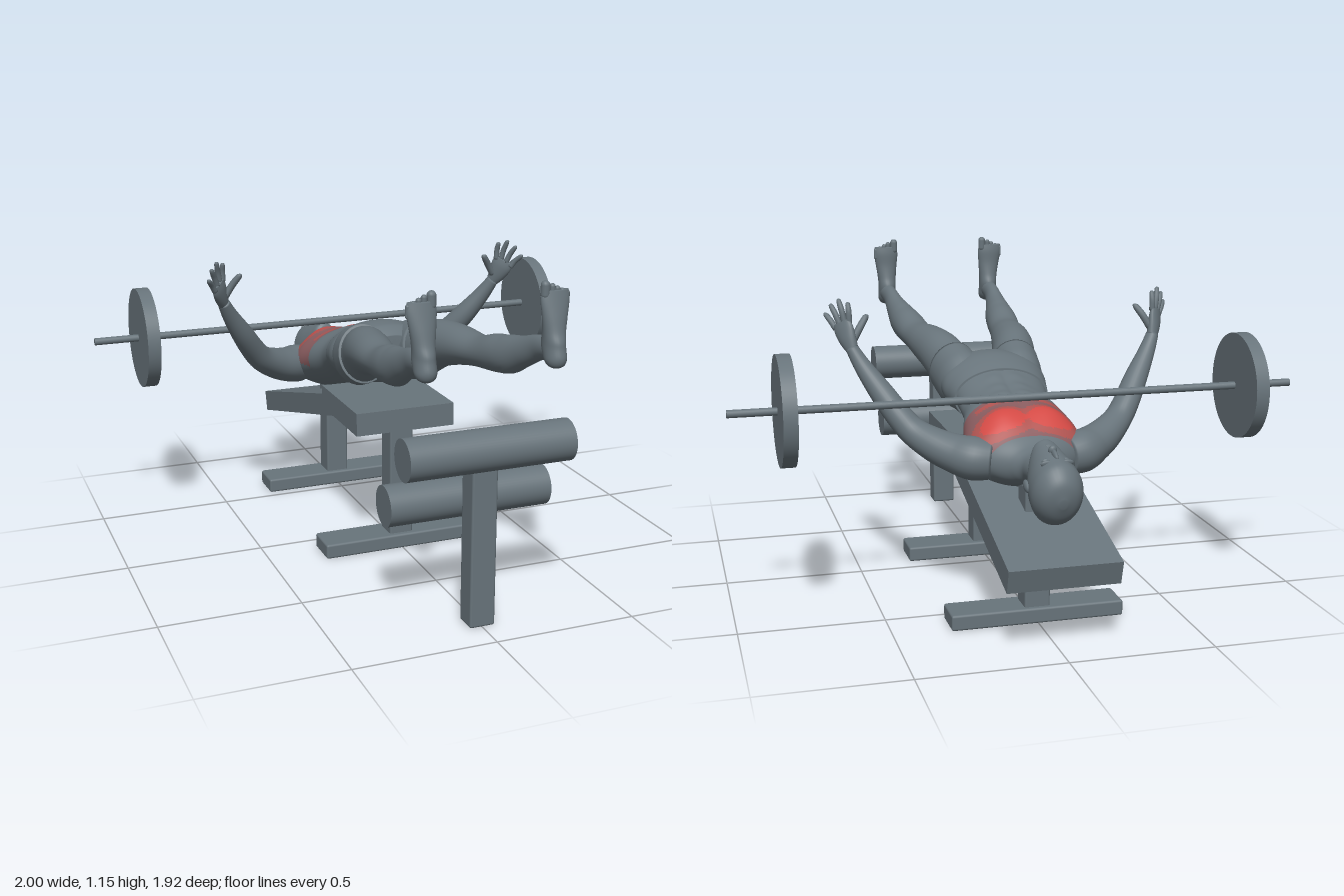
import * as THREE from 'three';
import { RoundedBoxGeometry } from 'three/addons/geometries/RoundedBoxGeometry.js';

const mat = (name, color) => Object.assign(new THREE.MeshStandardMaterial({ color }), { name });
const V = (x, y, z) => new THREE.Vector3(x, y, z);
const X = V(1, 0, 0), Z = V(0, 0, 1);

// Smooth interpolation through rows of numbers, without overshoot
function sampleRows(rows, steps) {
  const slope = (i, k) => {
    if (i === 0 || i === rows.length - 1) return 0.5 * (rows[i ? i : 1][k] - rows[i ? i - 1 : 0][k]);
    const a = rows[i][k] - rows[i - 1][k], b = rows[i + 1][k] - rows[i][k];
    if (a * b <= 0) return 0;
    return Math.sign(a) * Math.min(Math.abs(a + b) / 2, 2 * Math.abs(a), 2 * Math.abs(b));
  };
  const out = [];
  for (let i = 0; i < rows.length - 1; i++) {
    for (let s = 0; s < steps; s++) {
      const t = s / steps, t2 = t * t, t3 = t2 * t;
      out.push(rows[i].map((p, k) => p * (2 * t3 - 3 * t2 + 1) + rows[i + 1][k] * (3 * t2 - 2 * t3)
        + slope(i, k) * (t3 - 2 * t2 + t) + slope(i + 1, k) * (t3 - t2)));
    }
  }
  out.push(rows[rows.length - 1]);
  return out;
}

// Elliptical rings [x, y, z, sideRadius, otherRadius] joined into a capped skin
function loft(rows, side, { tangent = null, steps = 6, seg = 28, warp = null } = {}) {
  const rings = sampleRows(rows, steps), pos = [], idx = [];
  const at = (i) => V(...rings[Math.max(0, Math.min(rings.length - 1, i))]);
  rings.forEach((r, i) => {
    const t = tangent || at(i + 1).sub(at(i - 1)).normalize();
    const s = side.clone().addScaledVector(t, -side.dot(t)).normalize();
    const n = t.clone().cross(s);
    for (let j = 0; j < seg; j++) {
      const a = (j / seg) * Math.PI * 2;
      const p = at(i).addScaledVector(s, Math.cos(a) * r[3]).addScaledVector(n, Math.sin(a) * r[4]);
      if (warp) warp(p, r);
      pos.push(p.x, p.y, p.z);
    }
  });
  const last = (rings.length - 1) * seg, c0 = rings.length * seg;
  pos.push(...rings[0].slice(0, 3), ...rings[rings.length - 1].slice(0, 3));
  for (let j = 0; j < seg; j++) {
    const k = (j + 1) % seg;
    for (let o = 0; o < last; o += seg) idx.push(o + j, o + k, o + seg + j, o + k, o + seg + k, o + seg + j);
    idx.push(c0, k, j, c0 + 1, last + j, last + k);
  }
  const g = new THREE.BufferGeometry();
  g.setAttribute('position', new THREE.Float32BufferAttribute(pos, 3));
  g.setIndex(idx);
  g.computeVertexNormals();
  return g;
}

export function createModel() {
  const root = new THREE.Group();
  root.name = 'declineBenchPress';
  const grey = mat('slateGrey', 0x68747b);
  const chestMats = [grey, mat('duskyRed', 0x8a5d60), mat('softRed', 0xb05451), mat('brightRed', 0xd34a45)];
  const add = (parent, name, geo, x = 0, y = 0, z = 0, m = grey) => {
    const mesh = new THREE.Mesh(geo, m);
    mesh.name = name;
    mesh.position.set(x, y, z);
    parent.add(mesh);
    return mesh;
  };
  const group = (name) => { const g = new THREE.Group(); g.name = name; root.add(g); return g; };
  const block = (parent, name, w, y0, y1, z0, z1) =>
    add(parent, name, new RoundedBoxGeometry(w, y1 - y0, z1 - z0, 2, 0.008), 0, (y0 + y1) / 2, (z0 + z1) / 2);
  const rod = (parent, name, r, len, x, y, z, seg = 48) =>
    add(parent, name, new THREE.CylinderGeometry(r, r, len, seg).rotateZ(Math.PI / 2), x, y, z);

  // Bench: flat seat and sloping back in one profile, on two T-shaped legs
  const bench = group('bench');
  const profile = new THREE.Shape([[0.21, 0.47], [0.21, 0.555], [-0.175, 0.555], [-0.175, 0.522],
    [-0.962, 0.307], [-0.94, 0.227], [-0.05, 0.47]].map(([z, y]) => new THREE.Vector2(z, y)));
  add(bench, 'benchPad', new THREE.ExtrudeGeometry(profile, { depth: 0.38, bevelEnabled: false })
    .translate(0, 0, -0.19).rotateY(-Math.PI / 2));
  block(bench, 'frontPost', 0.09, 0.04, 0.49, 0.08, 0.172);
  block(bench, 'frontBase', 0.605, 0, 0.055, 0.06, 0.192);
  block(bench, 'rearPost', 0.09, 0.04, 0.48, -0.645, -0.55);
  block(bench, 'rearBase', 0.605, 0, 0.055, -0.662, -0.533);

  // Leg rollers on their own post
  const stand = group('rollerStand');
  block(stand, 'rollerPost', 0.09, 0, 0.6, 0.803, 0.888);
  rod(stand, 'upperRoller', 0.07, 0.576, 0, 0.622, 0.89);
  rod(stand, 'lowerRoller', 0.07, 0.576, 0, 0.41, 0.727);

  // Barbell
  const barbell = group('barbell');
  rod(barbell, 'bar', 0.0135, 2, 0, 0.74, -0.44, 20);
  for (const s of [-1, 1]) rod(barbell, 'weightPlate', 0.188, 0.048, s * 0.811, 0.74, -0.44, 64);

  // Torso: hips to neck, with chest relief, coloured by zone
  const body = group('athlete');
  const trunk = [
    [0, 0.73, 0.08, 0.1, 0.06], [0, 0.715, 0.02, 0.185, 0.105], [0, 0.705, -0.06, 0.188, 0.115],
    [0, 0.694, -0.12, 0.178, 0.11], [0, 0.683, -0.17, 0.168, 0.1], [0, 0.65, -0.25, 0.163, 0.103],
    [0, 0.615, -0.35, 0.186, 0.115], [0, 0.58, -0.45, 0.203, 0.12], [0, 0.56, -0.52, 0.2, 0.112],
    [0, 0.55, -0.575, 0.155, 0.086], [0, 0.545, -0.62, 0.09, 0.066], [0, 0.547, -0.66, 0.06, 0.058],
    [0, 0.548, -0.73, 0.056, 0.055]];
  const blob = (p, x, z, rx, rz) => Math.exp(-(((Math.abs(p.x) - x) / rx) ** 2) - ((p.z - z) / rz) ** 2);
  const relief = (p, r) => {
    if (p.y < r[1]) return;
    p.y += 0.022 * blob(p, 0.09, -0.48, 0.075, 0.06) - 0.006 * blob(p, 0, -0.3, 0.012, 0.14);
    for (const z of [-0.21, -0.27, -0.33]) p.y += 0.005 * blob(p, 0.045, z, 0.03, 0.022);
  };
  const opts = { tangent: V(0, 0, -1), steps: 10, seg: 96 };
  const torso = loft(trunk, X, { ...opts, warp: relief });
  const zones = [[], [], [], []], P = torso.attributes.position, I = torso.index.array;
  for (let i = 0; i < I.length; i += 3) {
    const tri = [I[i], I[i + 1], I[i + 2]];
    const mean = (f) => tri.reduce((sum, v) => sum + P[f](v), 0) / 3;
    const x = Math.abs(mean('getX')), y = mean('getY'), z = mean('getZ');
    const d = ((x - 0.083) / 0.085) ** 2 + ((z + 0.5) / 0.048) ** 2;
    let zone = 0;
    if (y > 0.58 && z > -0.575 && z < -0.35 && x < 0.2) {
      zone = d < 0.9 ? 3 : d < 1.9 || (z > -0.395 && z < -0.368 && x < 0.15) ? 2 : 1;
    }
    zones[zone].push(...tri);
  }
  torso.setIndex(zones.flat());
  let start = 0;
  zones.forEach((list, k) => { torso.addGroup(start, list.length, k); start += list.length; });
  add(body, 'torso', torso, 0, 0, 0, chestMats);
  add(body, 'shorts', loft(trunk.slice(0, 5).map(([x, y, z, a, b]) => [x, y, z, a + 0.007, b + 0.005]), X, opts));

  // Head, modelled upright and then laid back along the slope
  const head = new THREE.Group();
  head.name = 'head';
  head.position.set(0, 0.54, -0.8);
  head.rotation.x = -Math.PI / 2 - 0.26;
  body.add(head);
  add(head, 'skull', loft([
    [0, -0.126, 0.06, 0.018, 0.018], [0, -0.115, 0.05, 0.04, 0.042], [0, -0.085, 0.026, 0.057, 0.068],
    [0, -0.045, 0.004, 0.072, 0.092], [0, 0, -0.01, 0.083, 0.108], [0, 0.05, -0.014, 0.087, 0.112],
    [0, 0.09, -0.014, 0.074, 0.093], [0, 0.115, -0.012, 0.05, 0.062], [0, 0.128, -0.01, 0.012, 0.015]],
  X, { tangent: V(0, 1, 0), steps: 5, seg: 36 }));
  const bump = (name, x, y, z, sx, sy, sz) =>
    add(head, name, new THREE.SphereGeometry(1, 16, 12), x, y, z).scale.set(sx, sy, sz);
  bump('noseBridge', 0, -0.005, 0.097, 0.009, 0.03, 0.014);
  bump('noseTip', 0, -0.03, 0.099, 0.015, 0.012, 0.018);
  bump('upperLip', 0, -0.063, 0.084, 0.023, 0.006, 0.012);
  bump('lowerLip', 0, -0.074, 0.084, 0.02, 0.007, 0.012);
  for (const s of [-1, 1]) {
    bump('ear', s * 0.083, -0.008, -0.015, 0.01, 0.031, 0.018);
    bump('eye', s * 0.032, 0.008, 0.082, 0.014, 0.007, 0.01);
    bump('brow', s * 0.033, 0.026, 0.083, 0.022, 0.006, 0.012);
  }

  // Limbs: one list for the +x side, mirrored by negating x
  const leg = [
    [0.1, 0.7, -0.06, 0.075, 0.08], [0.11, 0.72, 0.02, 0.088, 0.105], [0.122, 0.748, 0.11, 0.085, 0.1],
    [0.145, 0.785, 0.2, 0.081, 0.087], [0.166, 0.805, 0.32, 0.075, 0.071], [0.183, 0.815, 0.45, 0.064, 0.056],
    [0.196, 0.835, 0.56, 0.062, 0.066], [0.203, 0.848, 0.63, 0.056, 0.066], [0.213, 0.88, 0.72, 0.042, 0.052],
    [0.22, 0.915, 0.81, 0.031, 0.042], [0.223, 0.928, 0.89, 0.032, 0.036]];
  const shortsLeg = [[0.1, 0.7, -0.06, 0.085, 0.09], [0.108, 0.717, 0.01, 0.094, 0.113], [0.121, 0.745, 0.1, 0.092, 0.108]];
  const foot = [
    [0.222, 0.876, 0.915, 0.014, 0.014], [0.222, 0.886, 0.912, 0.029, 0.032], [0.222, 0.91, 0.906, 0.036, 0.045],
    [0.222, 0.95, 0.893, 0.036, 0.05], [0.223, 0.99, 0.892, 0.038, 0.037], [0.225, 1.04, 0.89, 0.044, 0.027],
    [0.227, 1.09, 0.884, 0.05, 0.02], [0.228, 1.12, 0.882, 0.046, 0.014]];
  const arm = [
    [0.13, 0.55, -0.535, 0.06, 0.065], [0.19, 0.555, -0.51, 0.078, 0.075], [0.24, 0.565, -0.475, 0.073, 0.068],
    [0.3, 0.587, -0.435, 0.064, 0.06], [0.365, 0.625, -0.385, 0.053, 0.05], [0.41, 0.675, -0.35, 0.05, 0.046],
    [0.465, 0.755, -0.3, 0.043, 0.041], [0.52, 0.84, -0.257, 0.031, 0.03], [0.552, 0.9, -0.23, 0.025, 0.022]];
  const palm = [[0.55, 0.895, -0.232, 0.024, 0.019], [0.562, 0.925, -0.217, 0.035, 0.02],
    [0.573, 0.96, -0.2, 0.042, 0.017], [0.58, 0.985, -0.19, 0.038, 0.011]];
  // Finger base and tip points, index to little finger, then thumb
  const fingers = [
    [0.556, 0.985, -0.212, 0.558, 1.055, -0.2], [0.571, 0.985, -0.2, 0.586, 1.065, -0.178],
    [0.585, 0.975, -0.183, 0.61, 1.045, -0.155], [0.597, 0.958, -0.168, 0.627, 1.012, -0.135],
    [0.545, 0.925, -0.222, 0.495, 1.01, -0.198]];

  for (const s of [1, -1]) {
    const m = (rows) => rows.map(([x, ...rest]) => [s * x, ...rest]);
    const label = s > 0 ? 'left' : 'right';
    add(body, label + 'Leg', loft(m(leg), X));
    add(body, label + 'ShortsLeg', loft(m(shortsLeg), X));
    add(body, label + 'Foot', loft(m(foot), X, { tangent: V(0, 1, 0) }));
    add(body, label + 'Arm', loft(m(arm), Z));
    add(body, label + 'Palm', loft(m(palm), V(s * 0.045, -0.035, 0.05)));
    fingers.forEach(([x, y, z, u, v, w], i) => {
      const r = i === 4 ? 0.013 : 0.0105;
      const mid = [(x + u) / 2, (y + v) / 2, (z + w) / 2 - 0.004];
      add(body, label + (i === 4 ? 'Thumb' : 'Finger'),
        loft(m([[x, y, z, r, r], [...mid, r, r], [u, v - 0.005, w, r * 0.75, r * 0.75], [u, v, w, 0.003, 0.003]]), X, { seg: 12, steps: 4 }));
    });
    // Toes, big toe on the inner side
    for (let i = 0; i < 5; i++) {
      const r = i ? 0.0105 - i * 0.0005 : 0.015;
      add(body, label + 'Toe', new THREE.CapsuleGeometry(r, 0.03, 6, 12),
        s * (i ? 0.2 + i * 0.0175 : 0.193), 1.124 - i * 0.008 - (i ? 0 : 0.002), 0.882);
    }
  }
  return root;
}
